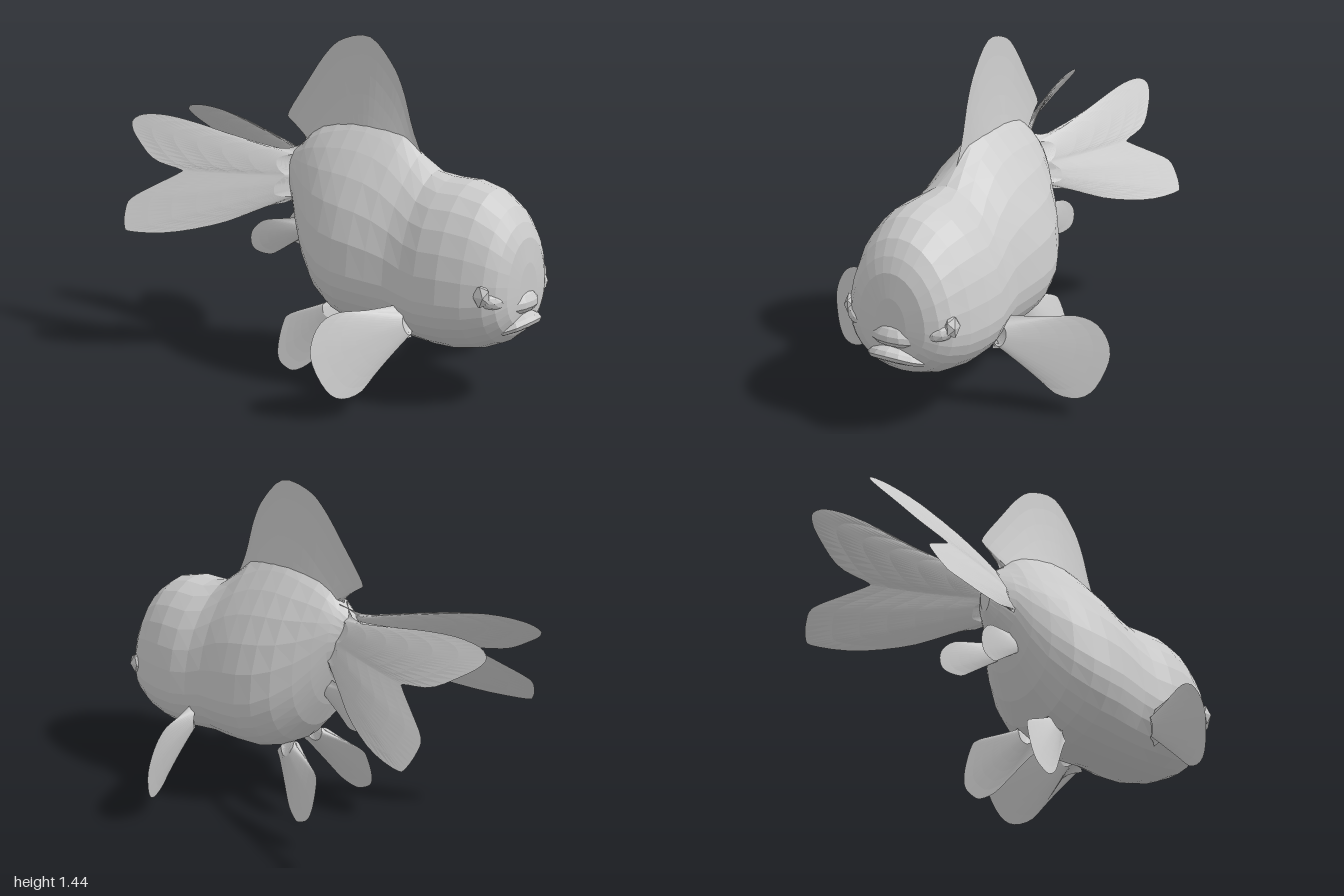
import * as THREE from 'three';

const material = new THREE.MeshStandardMaterial({ color: 0xcccccc, flatShading: true, side: THREE.DoubleSide });

function addMesh(parent, name, geometry) {
  const mesh = new THREE.Mesh(geometry, material);
  mesh.name = name;
  parent.add(mesh);
  return mesh;
}

// Geometry from rows of points, each row joined to the next by quads
function gridGeometry(rows) {
  const n = rows[0].length, index = [];
  for (let i = 0; i < rows.length - 1; i++) {
    for (let j = 0; j < n - 1; j++) {
      const a = i * n + j, b = a + n;
      index.push(a, a + 1, b, b, a + 1, b + 1);
    }
  }
  const geometry = new THREE.BufferGeometry();
  geometry.setAttribute('position', new THREE.Float32BufferAttribute(rows.flat(2), 3));
  geometry.setIndex(index);
  geometry.computeVertexNormals();
  return geometry;
}

// Body sections from nose to tail root: z, top, bottom, height of widest point, half width, taper of the back
const sections = [
  [0.955, 0.60, 0.40, 0.48, 0.07, 1], [0.945, 0.70, 0.34, 0.48, 0.15, 1],
  [0.92, 0.76, 0.30, 0.47, 0.20, 1], [0.88, 0.82, 0.265, 0.46, 0.235, 1],
  [0.80, 0.88, 0.23, 0.45, 0.27, 1], [0.70, 0.905, 0.21, 0.45, 0.295, 1],
  [0.60, 0.905, 0.21, 0.45, 0.30, 1], [0.52, 0.92, 0.215, 0.46, 0.285, 1.2],
  [0.44, 0.98, 0.22, 0.48, 0.28, 1.5], [0.36, 1.05, 0.22, 0.49, 0.295, 1.8],
  [0.28, 1.09, 0.225, 0.50, 0.308, 2], [0.20, 1.11, 0.23, 0.51, 0.31, 2],
  [0.12, 1.11, 0.255, 0.53, 0.295, 1.9], [0.04, 1.09, 0.30, 0.57, 0.26, 1.7],
  [-0.04, 1.06, 0.39, 0.63, 0.205, 1.5], [-0.10, 1.02, 0.50, 0.70, 0.155, 1.3],
  [-0.15, 0.97, 0.62, 0.78, 0.11, 1.2], [-0.20, 0.93, 0.69, 0.80, 0.07, 1],
  [-0.23, 0.88, 0.74, 0.81, 0.03, 1],
];

function bodyGeometry() {
  const sides = 28;
  const rows = sections.map(([z, top, bottom, mid, width, taper]) => {
    const row = [];
    for (let j = 0; j <= sides; j++) {
      const t = (j / sides) * Math.PI * 2, c = Math.cos(t), s = Math.sin(t);
      const x = Math.sign(c) * width * Math.pow(Math.abs(c), s > 0 ? taper : 0.95);
      row.push([x, mid + s * (s > 0 ? top - mid : mid - bottom), z]);
    }
    return row;
  });
  // Close both ends on a centre point
  const cap = ([z, , , mid]) => Array.from({ length: sides + 1 }, () => [0, mid, z]);
  return gridGeometry([cap(sections[0]), ...rows, cap(sections[sections.length - 1])]);
}

// Fin spread from a base line to a curved outline, thick at the root and thin at the rim.
// place(a, b, offset) sets each flat point into space.
function finGeometry(from, to, outline, thickness, place, across = 36, along = 7) {
  const curve = new THREE.SplineCurve(outline.map(([a, b]) => new THREE.Vector2(a, b)));
  const rim = curve.getPoints(across);
  const rows = [];
  for (let k = -along; k <= along; k++) {
    const u = 1 - Math.abs(k) / along;
    const side = Math.sign(k);
    rows.push(rim.map((p, j) => {
      const v = j / across;
      const reach = 1 - u;
      const a = THREE.MathUtils.lerp(from[0], to[0], v), b = THREE.MathUtils.lerp(from[1], to[1], v);
      const half = thickness * Math.pow(u, 1.5) * Math.sqrt(Math.max(0, Math.sin(Math.PI * v)));
      return place(a + (p.x - a) * reach, b + (p.y - b) * reach, side * half);
    }));
  }
  // The middle row joins the two sheets inside the body
  return gridGeometry(rows);
}

const dorsalOutline = [[0.46, 0.94], [0.40, 1.07], [0.35, 1.23], [0.29, 1.34], [0.18, 1.44], [0.04, 1.42],
  [-0.05, 1.35], [-0.15, 1.22], [-0.25, 1.08], [-0.23, 1.05], [-0.17, 1.0], [-0.15, 0.96]];

const tailOutline = [[-0.15, 0.97], [-0.23, 0.93], [-0.40, 0.95], [-0.60, 1.0], [-0.80, 1.03], [-0.94, 1.027],
  [-0.995, 1.0], [-0.98, 0.965], [-0.92, 0.92], [-0.80, 0.85], [-0.66, 0.82], [-0.66, 0.805], [-0.75, 0.75],
  [-0.84, 0.69], [-0.845, 0.64], [-0.82, 0.58], [-0.78, 0.56], [-0.60, 0.57], [-0.40, 0.62], [-0.25, 0.69], [-0.18, 0.71]];

const pectoralOutline = [[0.28, 0.41], [0.40, 0.41], [0.52, 0.42], [0.60, 0.39], [0.65, 0.32], [0.66, 0.24],
  [0.62, 0.13], [0.56, 0.085], [0.47, 0.10], [0.40, 0.17], [0.35, 0.24], [0.28, 0.27], [0.22, 0.27]];

const pelvicOutline = [[0.03, 0.29], [-0.05, 0.265], [-0.13, 0.23], [-0.15, 0.19], [-0.155, 0.10],
  [-0.14, 0.04], [-0.10, 0.01], [-0.06, 0.003], [0, 0.04], [0.06, 0.12], [0.12, 0.20], [0.15, 0.23]];

const analOutline = [[-0.15, 0.64], [-0.22, 0.63], [-0.30, 0.615], [-0.35, 0.57], [-0.36, 0.52], [-0.34, 0.48],
  [-0.28, 0.465], [-0.24, 0.48], [-0.20, 0.53], [-0.13, 0.57]];

// Squashed sphere whose ends droop, used for the lips
function lipGeometry(width, height, depth, droop) {
  const geometry = new THREE.SphereGeometry(1, 16, 8).scale(width, height, depth);
  const p = geometry.attributes.position;
  for (let i = 0; i < p.count; i++) p.setY(i, p.getY(i) - droop * p.getX(i) ** 2);
  geometry.computeVertexNormals();
  return geometry;
}

// Fins and eye of one side, built on +x
function buildSide(name, mirror) {
  const side = new THREE.Group();
  side.name = name;
  side.scale.x = mirror;

  addMesh(side, 'tailFin', finGeometry([-0.12, 0.92], [-0.12, 0.74], tailOutline, 0.035, (z, y, o) => {
    const d = -z - 0.2;
    return [0.08 + 0.5 * d - 0.25 * d * d + (0.81 - y) * (0.5 + 0.25 * d) + o, y, z];
  }, 63));

  addMesh(side, 'pectoralFin', finGeometry([0.22, 0.38], [0.22, 0.30], pectoralOutline, 0.05,
    (x, y, o) => [x, y, 0.37 - (x - 0.65) * 0.4 + (0.3 - y) * 0.2 + o]));

  addMesh(side, 'pelvicFin', finGeometry([0.04, 0.31], [0.12, 0.27], pelvicOutline, 0.04,
    (z, y, o) => [0.12 + (0.25 - y) * 0.3 - z * 0.25 + o, y, z]));

  addMesh(side, 'analFin', finGeometry([-0.08, 0.62], [-0.08, 0.57], analOutline, 0.03,
    (z, y, o) => [0.06 - 0.3 * (z + 0.12) + o, y, z]));

  // Small faceted eye with a heavy lid
  const eye = addMesh(side, 'eye', new THREE.IcosahedronGeometry(1, 1).scale(0.065, 0.038, 0.05));
  eye.position.set(0.185, 0.475, 0.885);
  eye.rotation.set(0, 0.6, 0.3);
  const lid = addMesh(side, 'eyelid', new THREE.IcosahedronGeometry(1, 0).scale(0.03, 0.05, 0.04));
  lid.position.set(0.228, 0.5, 0.875);
  return side;
}

export function createModel() {
  const fish = new THREE.Group();
  fish.name = 'goldfish';

  addMesh(fish, 'body', bodyGeometry());
  addMesh(fish, 'dorsalFin', finGeometry([0.38, 0.86], [-0.10, 0.90], dorsalOutline, 0.075, (z, y, o) => [o, y, z]));

  // Pouting lips with a thin mouth gap
  const upperLip = addMesh(fish, 'upperLip', lipGeometry(0.13, 0.06, 0.10, 1.8));
  upperLip.position.set(0, 0.455, 0.885);
  upperLip.rotation.x = 0.3;
  const lowerLip = addMesh(fish, 'lowerLip', lipGeometry(0.14, 0.045, 0.13, 1.5));
  lowerLip.position.set(0, 0.355, 0.87);
  lowerLip.rotation.x = -0.15;

  fish.add(buildSide('leftSide', 1), buildSide('rightSide', -1));
  return fish;
}
